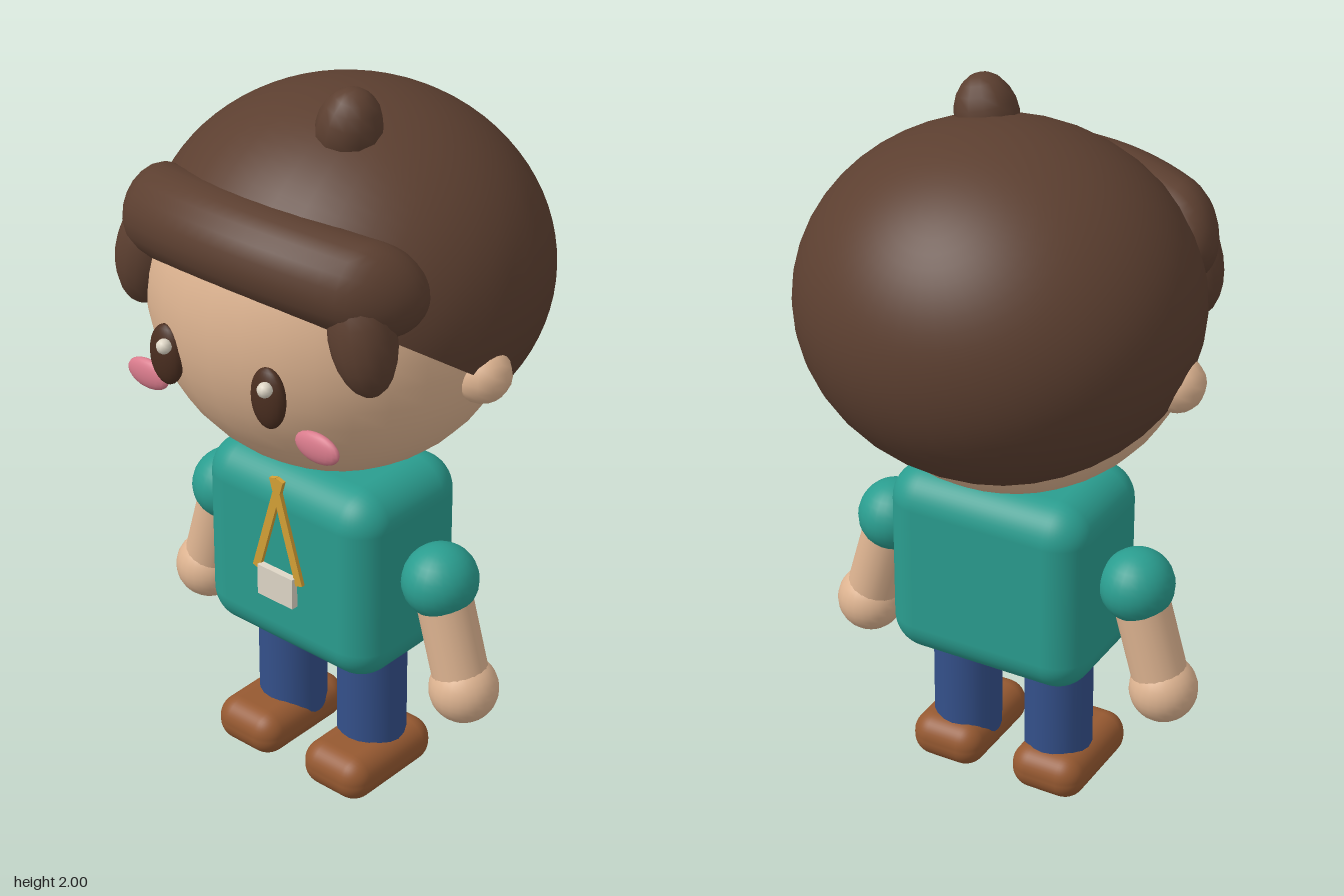
import * as THREE from 'three';
import { RoundedBoxGeometry } from 'three/addons/geometries/RoundedBoxGeometry.js';

function material(name, color, side = THREE.FrontSide) {
  const m = new THREE.MeshStandardMaterial({ color, side });
  m.name = name;
  return m;
}

export function createModel() {
  const model = new THREE.Group();
  model.name = 'figure';

  const skin = material('skin', 0xdeb491);
  const hair = material('hair brown', 0x5c3f30, THREE.DoubleSide);
  const shirt = material('shirt teal', 0x2a9d8f);
  const denim = material('trouser blue', 0x34508a);
  const leather = material('shoe brown', 0x965931);
  const gold = material('lanyard gold', 0xd4a035);
  const cream = material('cream', 0xded6c6);
  const pink = material('cheek pink', 0xd97b8c);
  const dark = material('eye brown', 0x4a2e20);

  function add(name, geometry, mat, x, y, z, rotZ = 0) {
    const mesh = new THREE.Mesh(geometry, mat);
    mesh.name = name;
    mesh.position.set(x, y, z);
    mesh.rotation.z = rotZ;
    model.add(mesh);
    return mesh;
  }
  const ellipsoid = (rx, ry, rz, w = 24, h = 16) =>
    new THREE.SphereGeometry(1, w, h).scale(rx, ry, rz);

  // Cylinder between two points in the plane of the body
  function limb(name, r, mat, x0, y0, x1, y1, z) {
    const length = Math.hypot(x1 - x0, y1 - y0);
    add(name, new THREE.CylinderGeometry(r, r, length, 20), mat,
      (x0 + x1) / 2, (y0 + y1) / 2, z, Math.atan2(x0 - x1, y1 - y0));
  }

  // Head
  add('head', ellipsoid(0.49, 0.48, 0.465, 32, 24), skin, 0, 1.42, 0.04);

  // Hair cap, tipped back so it is low at the nape and high at the forehead
  const cap = new THREE.SphereGeometry(1, 40, 24, 0, Math.PI * 2, 0, 1.92)
    .rotateX(-0.655).scale(0.53, 0.46, 0.507);
  add('hairCap', cap, hair, 0, 1.47, -0.02);

  // Fringe: a capsule bent around the forehead
  const fringe = new THREE.CapsuleGeometry(0.12, 0.68, 8, 20, 16).rotateZ(Math.PI / 2);
  const p = fringe.attributes.position;
  for (let i = 0; i < p.count; i++) {
    const x = p.getX(i);
    p.setY(i, p.getY(i) - 0.3 * x * x);
    p.setZ(i, p.getZ(i) - 0.6 * x * x);
  }
  fringe.computeVertexNormals();
  add('fringe', fringe, hair, 0, 1.65, 0.38);

  // Tuft on the crown
  add('hairTuft', ellipsoid(0.083, 0.11, 0.085, 12, 10), hair, 0.112, 1.895, 0.115, -0.2);

  for (const s of [1, -1]) {
    const side = s > 0 ? 'left' : 'right';

    // Side locks and face
    add(side + 'HairLock', ellipsoid(0.085, 0.155, 0.082, 16, 12), hair, s * 0.355, 1.51, 0.345, s * 0.2);
    add(side + 'Ear', ellipsoid(0.075, 0.075, 0.076, 12, 10), skin, s * 0.475, 1.325, 0.035);
    add(side + 'Eye', ellipsoid(0.053, 0.083, 0.028, 20, 14), dark, s * 0.17, 1.33, 0.476);
    add(side + 'EyeHighlight', ellipsoid(0.02, 0.02, 0.02, 10, 8), cream, s * 0.168 + 0.018, 1.37, 0.506);
    add(side + 'Cheek', ellipsoid(0.07, 0.041, 0.02, 20, 12), pink, s * 0.285, 1.215, 0.43);

    // Arm
    add(side + 'Sleeve', ellipsoid(0.1, 0.1, 0.105), shirt, s * 0.372, 0.69, 0.055);
    limb(side + 'Arm', 0.076, skin, s * 0.375, 0.68, s * 0.455, 0.4, 0.055);
    add(side + 'Hand', ellipsoid(0.093, 0.093, 0.093), skin, s * 0.458, 0.392, 0.055);

    // Leg and shoe
    limb(side + 'Leg', 0.095, denim, s * 0.143, 0.08, s * 0.143, 0.45, 0.055);
    add(side + 'Shoe', new RoundedBoxGeometry(0.215, 0.13, 0.34, 5, 0.06), leather, s * 0.157, 0.065, 0.09);

    // Lanyard strap, crossing the other one at the neck
    const dx = 0.087, dy = 0.295;
    add(side + 'Strap', new THREE.BoxGeometry(0.024, Math.hypot(dx, dy), 0.012), gold,
      s * 0.0315, 0.795, 0.265, Math.atan2(s * dx, dy));
  }

  // Torso and badge
  add('torso', new RoundedBoxGeometry(0.59, 0.56, 0.41, 6, 0.1), shirt, 0, 0.67, 0.055);
  add('badge', new THREE.BoxGeometry(0.122, 0.09, 0.02), cream, 0, 0.62, 0.271);

  return model;
}
